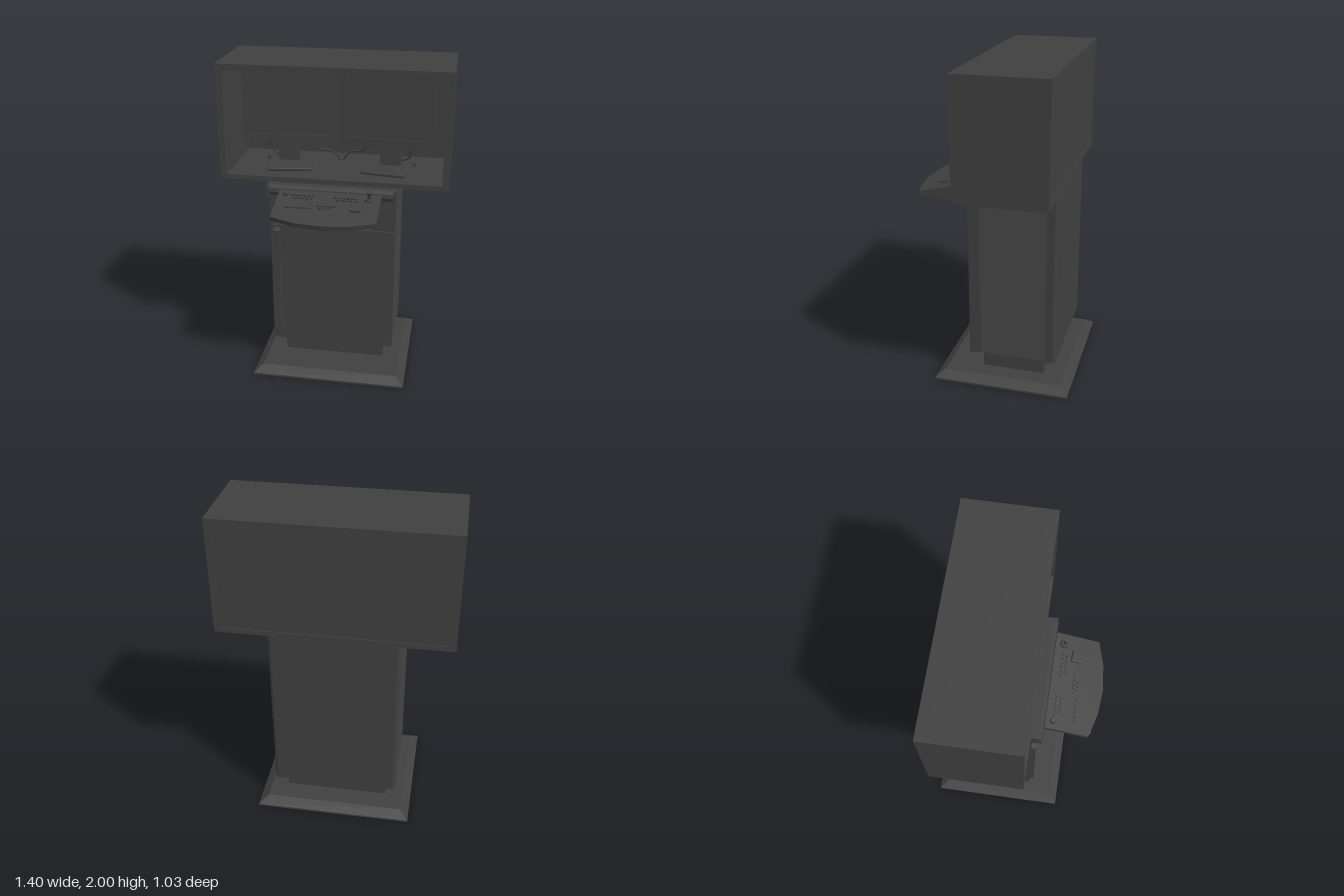
import * as THREE from 'three';
import { RoundedBoxGeometry } from 'three/addons/geometries/RoundedBoxGeometry.js';

const mat = new THREE.MeshStandardMaterial({ color: 0x404040 });

function add(parent, name, geometry, x = 0, y = 0, z = 0) {
  const mesh = new THREE.Mesh(geometry, mat);
  mesh.name = name;
  mesh.position.set(x, y, z);
  parent.add(mesh);
  return mesh;
}

// Box given by its limits on each axis
function block(parent, name, [x0, x1], [y0, y1], [z0, z1]) {
  return add(parent, name, new THREE.BoxGeometry(x1 - x0, y1 - y0, z1 - z0),
    (x0 + x1) / 2, (y0 + y1) / 2, (z0 + z1) / 2);
}

function group(parent, name, x = 0, y = 0, z = 0) {
  const g = new THREE.Group();
  g.name = name;
  g.position.set(x, y, z);
  parent.add(g);
  return g;
}

const shapeOf = (pts) => new THREE.Shape(pts.map(([a, b]) => new THREE.Vector2(a, b)));
const rect = (x, y0, y1) => [[-x, y0], [x, y0], [x, y1], [-x, y1]];
const extrude = (shape, depth) =>
  new THREE.ExtrudeGeometry(shape, { depth, bevelEnabled: false, curveSegments: 8 });

// Side profile of (z, y) points swept across a width centred on x
const sweepX = (pts, width) =>
  extrude(shapeOf(pts), width).translate(0, 0, -width / 2).rotateY(-Math.PI / 2);

// Plan of (x, z) points, hanging down from y = 0
const slab = (shape, height) => extrude(shape, height).rotateX(Math.PI / 2);

// Box whose top is inset to form sloping edges
function buildBase(model) {
  block(model, 'basePlateRim', [-0.49, 0.49], [0, 0.012], [-0.52, 0.33]);
  const geo = new THREE.BoxGeometry(0.98, 0.04, 0.85);
  const p = geo.attributes.position;
  for (let i = 0; i < p.count; i++) {
    if (p.getY(i) > 0) p.setXYZ(i, Math.sign(p.getX(i)) * 0.435, 0.02, Math.sign(p.getZ(i)) * 0.37);
  }
  geo.computeVertexNormals();
  add(model, 'basePlate', geo, 0, 0.032, -0.095);
  block(model, 'plinth', [-0.325, 0.325], [0.05, 0.18], [-0.337, 0.055]);
}

function buildCabinet(model) {
  const cabinet = group(model, 'cabinet');
  block(cabinet, 'cabinetCore', [-0.372, 0.372], [0.178, 1.285], [-0.36, 0.06]);
  block(cabinet, 'frontFrame', [-0.388, 0.388], [0.175, 1.285], [0.056, 0.115]);
  block(cabinet, 'door', [-0.392, 0.392], [0.175, 0.995], [0.1, 0.125]);
  block(cabinet, 'upperFrontPanel', [-0.392, 0.392], [1.0, 1.285], [0.1, 0.125]);

  // Door handle strip with slanted ends
  const handle = sweepX([[0.125, 0.185], [0.15, 0.2], [0.15, 0.965], [0.125, 0.98]], 0.034);
  add(cabinet, 'doorHandle', handle, -0.35, 0, 0);

  // Back panel with rounded vertical corners
  const r = 0.025;
  const plan = new THREE.Shape();
  plan.moveTo(0.392, -0.355);
  plan.lineTo(-0.392, -0.355);
  plan.lineTo(-0.392, -0.42 + r);
  plan.quadraticCurveTo(-0.392, -0.42, -0.392 + r, -0.42);
  plan.lineTo(0.392 - r, -0.42);
  plan.quadraticCurveTo(0.392, -0.42, 0.392, -0.42 + r);
  add(cabinet, 'backPanel', slab(plan, 1.11), 0, 1.285, 0);

  // Louvred sides
  const pitch = 1.1 / 24;
  for (const side of [-1, 1]) {
    for (let i = 0; i < 24; i++) {
      const slat = add(cabinet, 'louvreSlat', new THREE.BoxGeometry(0.012, pitch * 0.95, 0.405),
        side * 0.381, 0.18 + pitch * (i + 0.5), -0.15);
      slat.rotation.z = side * 0.25;
    }
  }
}

function buildHousing(model) {
  const housing = group(model, 'displayHousing');
  const frame = shapeOf(rect(0.702, 1.285, 2));
  frame.holes.push(new THREE.Path(shapeOf(rect(0.662, 1.315, 1.962)).getPoints()));
  add(housing, 'housingShell', extrude(frame, 0.55), 0, 0, -0.43);
  block(housing, 'housingBackPanel', [-0.67, 0.67], [1.31, 1.97], [-0.424, -0.4]);
}

// side is -1 or 1; each display is turned a little towards the middle
function buildDisplay(model, side) {
  const d = group(model, side < 0 ? 'rightDisplay' : 'leftDisplay', side * 0.31, 0, -0.1);
  d.rotation.y = -side * 0.06;
  const bezel = shapeOf(rect(0.284, 1.475, 1.94));
  bezel.holes.push(new THREE.Path(shapeOf(rect(0.252, 1.525, 1.912)).getPoints()));
  add(d, 'displayBezel', extrude(bezel, 0.03), 0, 0, -0.01);
  block(d, 'screen', [-0.255, 0.255], [1.52, 1.915], [-0.02, 0.01]);
  block(d, 'displayCasing', [-0.275, 0.275], [1.485, 1.93], [-0.05, -0.01]);
  block(d, 'displayRearHump', [-0.16, 0.16], [1.52, 1.85], [-0.085, -0.05]);

  const neck = [[-0.1, 1.33], [-0.045, 1.33], [-0.055, 1.62], [-0.1, 1.62]];
  add(d, 'displayNeck', sweepX(neck, 0.13), side * 0.012, 0, 0);
  const foot = add(d, 'displayFoot', new RoundedBoxGeometry(0.28, 0.022, 0.32, 2, 0.008),
    0, 1.326, -0.05);
  foot.rotation.y = -side * 0.08;

  // Cables dropping behind the display to the middle and to the outer wall
  const cable = (name, pts) => add(model, name, new THREE.TubeGeometry(
    new THREE.CatmullRomCurve3(pts.map(([x, y, z]) => new THREE.Vector3(side * x, y, z))),
    24, 0.006, 6));
  cable('innerCable', [[0.17, 1.56, -0.16], [0.165, 1.44, -0.2], [0.14, 1.4, -0.22],
    [0.07, 1.385, -0.24], [0.03, 1.35, -0.25], [0.01, 1.315, -0.26]]);
  cable('outerCable', [[0.44, 1.56, -0.16], [0.45, 1.45, -0.19], [0.44, 1.37, -0.22],
    [0.4, 1.345, -0.24], [0.33, 1.335, -0.25]]);
  block(model, 'cablePlug', [side * 0.455 - 0.025, side * 0.455 + 0.025], [1.315, 1.34], [-0.26, -0.2]);
}

function buildConsole(model) {
  const c = group(model, 'controlConsole');
  // Rounded mounting rail with end caps
  const rail = [[0.055, 1.215], [0.155, 1.21], [0.18, 1.222], [0.19, 1.245],
    [0.185, 1.268], [0.165, 1.283], [0.055, 1.283]];
  add(c, 'mountingRail', sweepX(rail, 0.76));
  for (const s of [-1, 1]) block(c, 'railEndCap', [s * 0.387 - 0.008, s * 0.387 + 0.008], [1.208, 1.285], [0.055, 0.185]);

  // Wedge under the control panel
  const wedge = [[0.12, 1.147], [0.33, 1.147], [0.47, 1.16], [0.17, 1.24], [0.12, 1.24]];
  add(c, 'consoleWedge', sweepX(wedge, 0.56));

  // Sloping control panel with a bowed front edge
  const panel = group(c, 'controlPanel', 0, 1.262, 0.19);
  panel.rotation.x = 0.25;
  const plan = shapeOf([[0.31, 0], [0.31, 0.275], [0.16, 0.318], [0, 0.333],
    [-0.16, 0.318], [-0.31, 0.275], [-0.31, 0]]);
  add(panel, 'panelSlab', slab(plan, 0.03));

  // Rows of small keys: start x, z, count, spacing
  const rows = [[-0.22, 0.05, 6, 0.024], [-0.2, 0.078, 5, 0.024], [0.04, 0.055, 6, 0.026],
    [0.06, 0.08, 5, 0.026], [-0.23, 0.172, 6, 0.026], [-0.05, 0.145, 5, 0.025], [-0.035, 0.168, 3, 0.025]];
  for (const [x, z, count, step] of rows) {
    for (let i = 0; i < count; i++) {
      const key = add(panel, 'key', new THREE.BoxGeometry(0.016, 0.012, 0.013), x + i * step, 0.004, z);
      key.rotation.y = (i % 3 - 1) * 0.4;
    }
  }
  add(panel, 'knob', new THREE.CylinderGeometry(0.016, 0.02, 0.02, 12), -0.26, 0.008, 0.045);
  add(panel, 'touchPad', new RoundedBoxGeometry(0.072, 0.022, 0.072, 2, 0.006), 0.175, 0.005, 0.145);

  // Joystick
  const stick = group(panel, 'joystick', 0.245, 0, 0.055);
  add(stick, 'joystickCollar', new THREE.CylinderGeometry(0.024, 0.03, 0.016, 16), 0, 0.006, 0);
  add(stick, 'joystickShaft', new THREE.CylinderGeometry(0.01, 0.012, 0.04, 10), 0, 0.03, 0);
  add(stick, 'joystickGrip', new THREE.CylinderGeometry(0.019, 0.014, 0.02, 12), 0, 0.05, 0);
}

export function createModel() {
  const model = new THREE.Group();
  model.name = 'workstationKiosk';
  buildBase(model);
  buildCabinet(model);
  buildHousing(model);
  for (const side of [-1, 1]) buildDisplay(model, side);
  buildConsole(model);
  return model;
}
